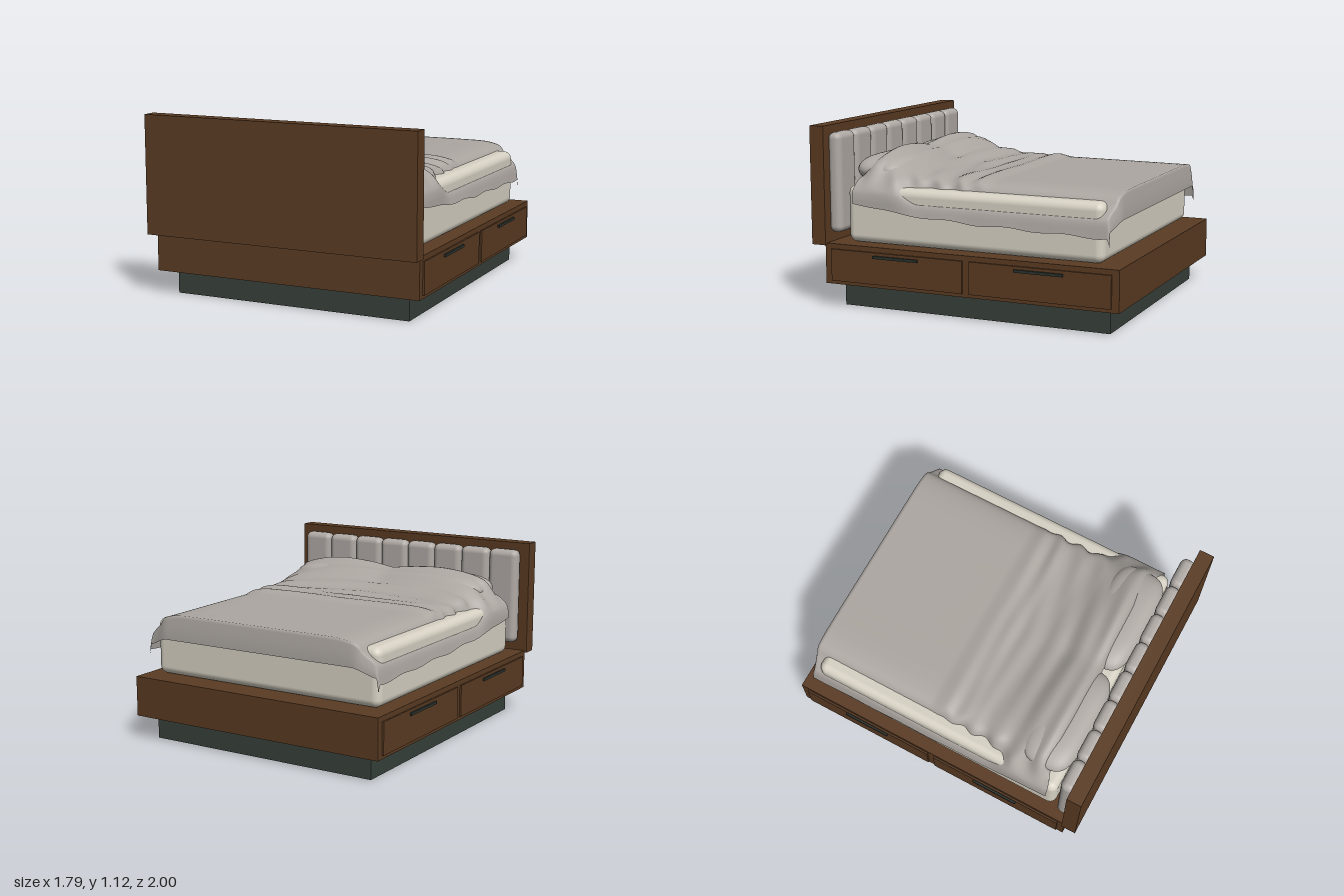
import * as THREE from 'three';
import { RoundedBoxGeometry } from 'three/addons/geometries/RoundedBoxGeometry.js';

const mat = (name, color, side = THREE.FrontSide) => {
  const m = new THREE.MeshStandardMaterial({ color, side });
  m.name = name;
  return m;
};
const { lerp, smoothstep } = THREE.MathUtils;

// Piecewise-linear lookup in a short list of [position, value]
function profile(points, t) {
  if (t <= points[0][0]) return points[0][1];
  for (let i = 1; i < points.length; i++) {
    const [a, b] = [points[i - 1], points[i]];
    if (t <= b[0]) return lerp(a[1], b[1], smoothstep(t, a[0], b[0]) * 0.4 + (t - a[0]) / (b[0] - a[0]) * 0.6);
  }
  return points[points.length - 1][1];
}

// Draped cover: cross-sections along z, with a flap hanging over the foot
function blanketGeometry() {
  const cols = 72, rows = 96, flapRows = 8;
  const geo = new THREE.PlaneGeometry(1, 1, cols, rows);
  const pos = geo.attributes.position;
  const height = [[-0.95, 0.81], [-0.12, 0.815], [-0.03, 0.832], [0.03, 0.818], [0.09, 0.832],
    [0.15, 0.82], [0.3, 0.835], [0.42, 0.872], [0.55, 0.93], [0.64, 0.957], [0.69, 0.935], [0.71, 0.88]];
  const hem = [[-0.93, 0.56], [-0.1, 0.58], [0.4, 0.605], [0.71, 0.655]];
  for (let r = 0; r <= rows; r++) {
    const flap = Math.max(0, 1 - r / flapRows);
    const z = lerp(-0.935, 0.71, Math.max(0, (r - flapRows) / (rows - flapRows)));
    const h = profile(height, z), low = profile(hem, z);
    const k = smoothstep(z, 0.3, 0.5), ruffle = smoothstep(z, -0.1, 0.1);
    const wave = ruffle * 0.012 * Math.sin(z * 42);
    const half = new THREE.CatmullRomCurve3([
      [0, h - 0.025 * k], [0.2, h - 0.004 * k], [0.4, h], [0.6, h - 0.006 - 0.02 * k],
      [0.685 + wave, h - 0.03 - 0.03 * k],
      [lerp(0.725, 0.755, k) + wave, lerp(0.735, 0.80, k)],
      [lerp(0.785, 0.81, k), lerp(0.685, 0.735, k)],
      [lerp(0.808, 0.822, k), lerp(0.655, 0.69, k)],
      [0.825, low + 0.006 * Math.sin(z * 17)],
    ].map(([x, y]) => new THREE.Vector3(x, y, 0)));
    for (let c = 0; c <= cols; c++) {
      const s = c / cols * 2 - 1;
      const p = half.getPoint(Math.abs(s));
      const side = smoothstep(p.x, 0.66, 0.82);
      let y = p.y + ruffle * (1 - side) * 0.006 * Math.sin(z * 38 + p.x * 5 + s * 3);
      let zz = z + smoothstep(z, 0.5, 0.71) * side * 0.04 + smoothstep(-z, 0.8, 0.935) * side * 0.03;
      if (flap > 0) {
        y = lerp(y, Math.min(y, 0.65) - 0.05 * side, flap);
        zz -= 0.015 * Math.sin(flap * Math.PI / 2);
      }
      pos.setXYZ(r * (cols + 1) + c, Math.sign(s) * p.x, y, zz);
    }
  }
  geo.computeVertexNormals();
  return geo;
}

// Plump, squared-off cushion from a sphere
function pillowGeometry(a, b, c) {
  const geo = new THREE.SphereGeometry(1, 40, 24);
  const pos = geo.attributes.position;
  const square = (v) => Math.sign(v) * Math.abs(v) ** 0.55;
  for (let i = 0; i < pos.count; i++) {
    const x = pos.getX(i), y = pos.getY(i), z = pos.getZ(i);
    pos.setXYZ(i, a * square(x), b * y, c * square(z));
  }
  geo.computeVertexNormals();
  return geo;
}

export function createModel() {
  const group = new THREE.Group();
  group.name = 'bed';
  const wood = mat('walnut wood', 0x5a3b22);
  const dark = mat('dark plinth', 0x37403a);
  const metal = mat('dark handle', 0x2b322d);
  const cream = mat('cream mattress', 0xd6d1c3);
  const cloth = mat('grey cloth', 0xaca6a1, THREE.DoubleSide);
  const padding = mat('grey upholstery', 0xb0aaa5);

  const add = (name, geo, material, x = 0, y = 0, z = 0) => {
    const mesh = new THREE.Mesh(geo, material);
    mesh.name = name;
    mesh.position.set(x, y, z);
    group.add(mesh);
    return mesh;
  };
  // Box given by its limits
  const box = (name, material, x0, x1, y0, y1, z0, z1) => add(name,
    new THREE.BoxGeometry(x1 - x0, y1 - y0, z1 - z0), material,
    (x0 + x1) / 2, (y0 + y1) / 2, (z0 + z1) / 2);

  // Frame
  box('plinth', dark, -0.775, 0.775, 0, 0.15, -0.915, 0.835);
  box('base', wood, -0.87, 0.87, 0.15, 0.402, -1, 0.915);
  box('headboard', wood, -0.887, 0.887, 0.39, 1.125, 0.905, 1);

  // Two drawers with bar handles on each side
  for (const s of [-1, 1]) {
    for (const [z0, z1] of [[-0.955, -0.065], [-0.02, 0.87]]) {
      const mid = (z0 + z1) / 2;
      const drawer = box('drawer', wood, 0.865, 0.881, 0.172, 0.37, z0, z1);
      const handle = box('drawerHandle', metal, 0.878, 0.893, 0.335, 0.352, mid - 0.152, mid + 0.152);
      drawer.position.x *= s;
      handle.position.x *= s;
    }
  }

  // Upholstered headboard channels
  const channel = new RoundedBoxGeometry(0.206, 0.62, 0.09, 5, 0.04);
  for (let i = 0; i < 8; i++) add('headboardPad', channel, padding, (i - 3.5) * 0.2075, 0.77, 0.873);

  // Bedding
  add('mattress', new RoundedBoxGeometry(1.6, 0.355, 1.675, 6, 0.05), cream, 0, 0.5825, -0.0375);
  const pillow = pillowGeometry(0.35, 0.085, 0.18);
  for (const s of [-1, 1]) add('pillow', pillow, padding, s * 0.365, 0.84, 0.65);
  add('blanket', blanketGeometry(), cloth);

  return group;
}
